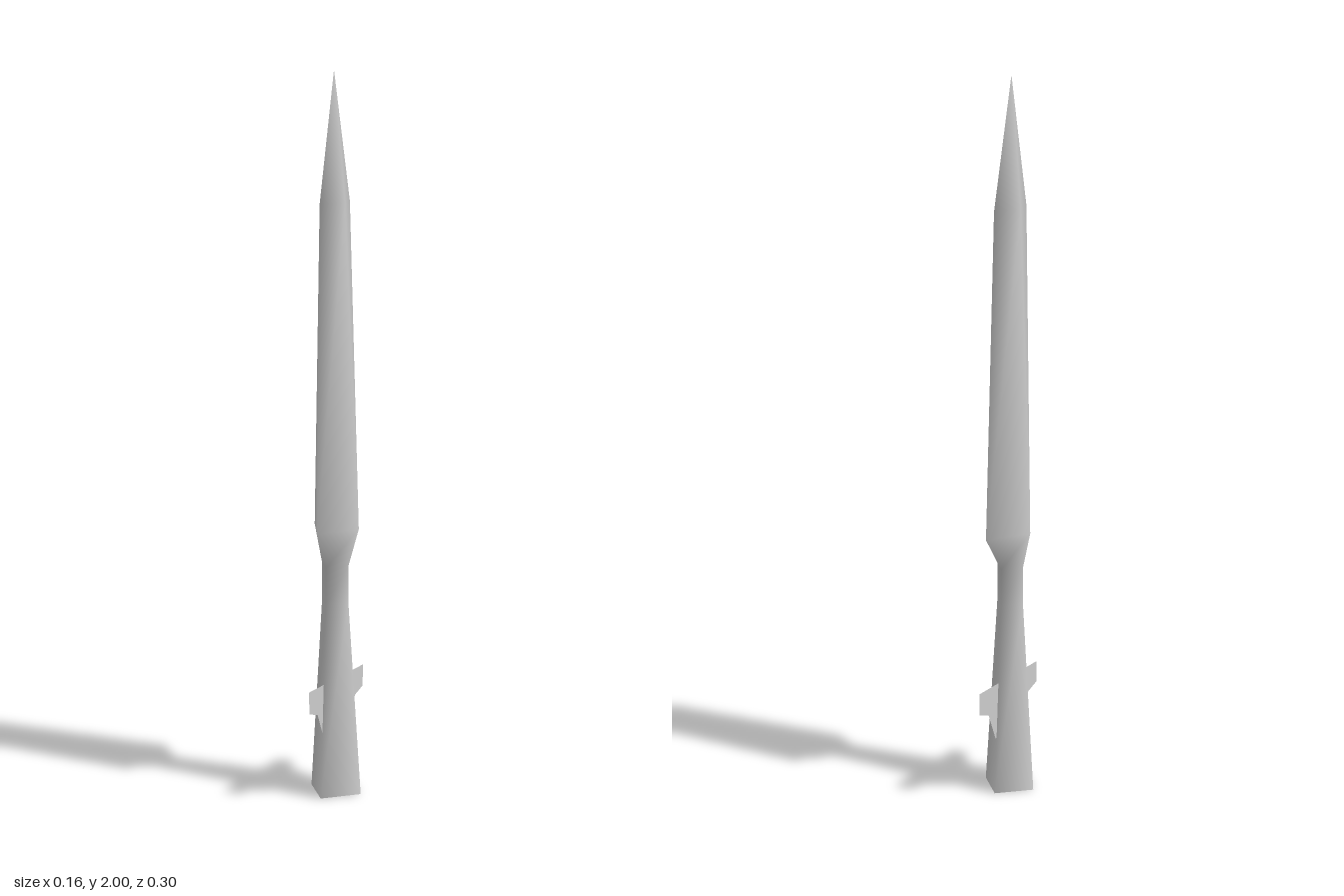
import * as THREE from 'three';

const material = new THREE.MeshStandardMaterial({ color: 0xcccccc });
const thinMaterial = new THREE.MeshStandardMaterial({ color: 0xcccccc, side: THREE.DoubleSide });

// Diamond cross-sections: height, half width, front z, back z, z of the side corners
const sections = [
  [0, 0.08, 0.09, -0.075, 0.004],
  [0.55, 0.042, 0.06, -0.04, 0.008],
  [0.655, 0.042, 0.058, -0.038, 0.008],
  [0.76, 0.07, 0.108, -0.117, 0.0],
  [1.65, 0.032, 0.091, -0.073, 0.01],
  [2, 0, 0.014, 0.014, 0.014],
];

const ring = ([y, w, front, back, mid]) => [[0, y, front], [w, y, mid], [0, y, back], [-w, y, mid]];

// Smooth-shaded skin through the diamond sections
function bodyGeometry() {
  const index = [];
  for (let i = 0; i < sections.length - 1; i++) {
    for (let k = 0; k < 4; k++) {
      const a = i * 4 + k, b = i * 4 + (k + 1) % 4;
      index.push(a, b, b + 4);
      if (i < sections.length - 2) index.push(a, b + 4, a + 4);
    }
  }
  const geometry = new THREE.BufferGeometry();
  geometry.setAttribute('position', new THREE.Float32BufferAttribute(sections.flatMap(ring).flat(), 3));
  geometry.setIndex(index);
  geometry.computeVertexNormals();
  return geometry;
}

// Flat cap closing the socket end
function capGeometry() {
  const geometry = new THREE.BufferGeometry();
  geometry.setAttribute('position', new THREE.Float32BufferAttribute(ring(sections[0]).flat(), 3));
  geometry.setIndex([0, 2, 1, 0, 3, 2]);
  geometry.computeVertexNormals();
  return geometry;
}

// Thin lug in the x = 0 plane, pointing to the front (1) or back (-1)
function lugGeometry(side) {
  const outline = [[0, 0.325], [0.152, 0.325], [0.152, 0.263], [0.106, 0.247], [0.07, 0.165], [0, 0.165]];
  const shape = new THREE.Shape(outline.map(([z, y]) => new THREE.Vector2(-side * z, y)));
  return new THREE.ShapeGeometry(shape).rotateY(Math.PI / 2);
}

export function createModel() {
  const model = new THREE.Group();
  model.name = 'spearhead';
  const add = (name, geometry, mat) => {
    const mesh = new THREE.Mesh(geometry, mat);
    mesh.name = name;
    model.add(mesh);
  };
  add('bladeAndSocket', bodyGeometry(), material);
  add('socketCap', capGeometry(), material);
  add('frontLug', lugGeometry(1), thinMaterial);
  add('backLug', lugGeometry(-1), thinMaterial);
  return model;
}
